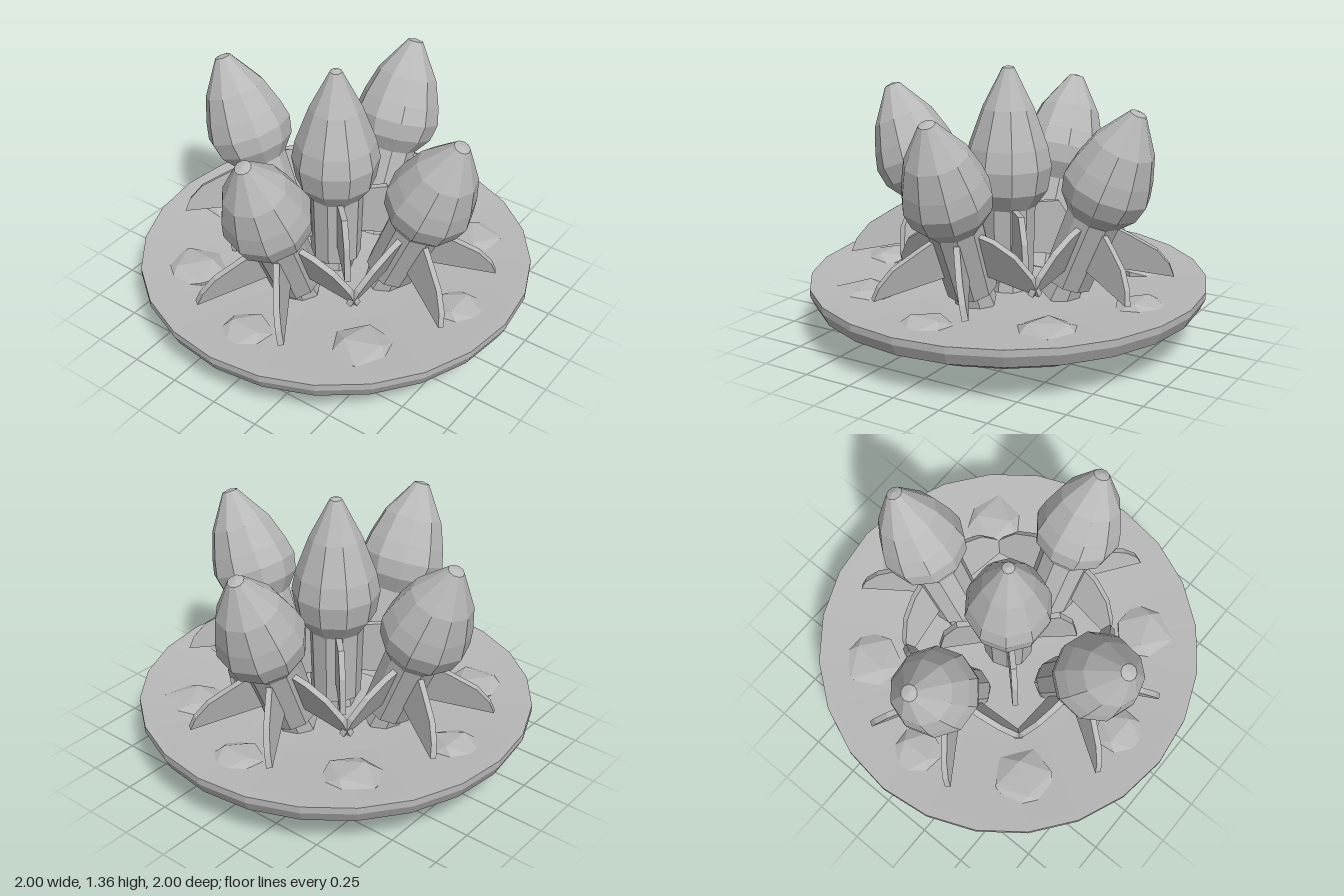
import * as THREE from 'three';

const gray = new THREE.MeshStandardMaterial({ color: 0xb8b8b8 });
gray.name = 'plain gray';
gray.flatShading = true;

const points = (list) => list.map(([x, y]) => new THREE.Vector2(x, y));

function add(parent, name, geometry) {
  const mesh = new THREE.Mesh(geometry, gray);
  mesh.name = name;
  parent.add(mesh);
  return mesh;
}

// Curved fin outline (radius, height), extruded to a thin blade
function addFin(parent, outline, degrees, thickness = 0.03) {
  const shape = new THREE.Shape(points(outline));
  const geometry = new THREE.ExtrudeGeometry(shape, { depth: thickness, bevelEnabled: false });
  geometry.translate(0, 0, -thickness / 2);
  add(parent, 'fin', geometry).rotation.y = THREE.MathUtils.degToRad(degrees);
}

// Rocket whose origin is where the nose meets the body
function makeRocket(name, noseProfile, bodyLength, fins) {
  const rocket = new THREE.Group();
  rocket.name = name;
  add(rocket, 'nose', new THREE.LatheGeometry(points(noseProfile), 10));
  const body = add(rocket, 'body', new THREE.CylinderGeometry(0.138, 0.128, bodyLength, 10));
  body.position.y = 0.02 - bodyLength / 2;
  const nozzle = add(rocket, 'nozzle', new THREE.CylinderGeometry(0.085, 0.105, 0.12, 8));
  nozzle.position.y = -bodyLength - 0.02;
  for (const { outline, angles } of fins) angles.forEach((a) => addFin(rocket, outline, a));
  return rocket;
}

// Low faceted stone; a pointed one is drawn out toward +z
function addRock(parent, x, z, turn, pointed) {
  const geometry = new THREE.IcosahedronGeometry(1, 0);
  const p = geometry.attributes.position;
  for (let i = 0; i < p.count; i++) {
    const px = p.getX(i), pz = p.getZ(i);
    if (pointed && pz > 0.6) p.setXYZ(i, px * 0.25, p.getY(i) * 0.4, 1.15);
  }
  geometry.scale(pointed ? 0.15 : 0.175, 0.055, pointed ? 0.15 : 0.175);
  geometry.computeVertexNormals();
  const rock = add(parent, 'rock', geometry);
  rock.position.set(x, 0.252, z);
  rock.rotation.y = turn;
}

export function createModel() {
  const model = new THREE.Group();
  model.name = 'rocketCluster';

  // Shallow round dish with a slightly hollow top
  add(model, 'dish', new THREE.LatheGeometry(points([
    [0, 0], [0.2, 0.005], [0.5, 0.055], [0.82, 0.125], [0.97, 0.195],
    [1, 0.255], [1, 0.29], [0.96, 0.287], [0.5, 0.245], [0, 0.215],
  ]), 24));

  // Upright centre rocket
  const centre = makeRocket('centreRocket', [
    [0, 0], [0.13, 0], [0.2, 0.1], [0.22, 0.22], [0.2, 0.32],
    [0.13, 0.51], [0.03, 0.705], [0, 0.715],
  ], 0.38, [{
    outline: [[0.1, 0.02], [0.26, 0.02], [0.33, -0.1], [0.36, -0.28], [0.1, -0.24]],
    angles: [45, 135, 225, 315],
  }]);
  centre.position.y = 0.645;
  model.add(centre);

  // Four rockets leaning outward
  const outerNose = [
    [0, 0], [0.13, 0], [0.2, 0.09], [0.22, 0.18], [0.2, 0.27],
    [0.155, 0.4], [0.04, 0.575], [0, 0.585],
  ];
  const outerFins = [
    { outline: [[0.1, -0.02], [0.2, -0.05], [0.3, -0.12], [0.37, -0.23], [0.39, -0.33], [0.1, -0.26]],
      angles: [0, 180] },
    { outline: [[0.1, -0.01], [0.21, -0.03], [0.35, -0.06], [0.44, -0.115], [0.485, -0.17], [0.1, -0.235]],
      angles: [-58, -122] },
  ];
  for (let i = 0; i < 4; i++) {
    const side = new THREE.Group();
    side.name = 'outerSection';
    side.rotation.y = i * Math.PI / 2;
    const rocket = makeRocket('leaningRocket', outerNose, 0.38, outerFins);
    rocket.position.set(0, 0.665, 0.48);
    rocket.rotation.x = THREE.MathUtils.degToRad(22.5);
    side.add(rocket);

    // Stones scattered around the dish
    addRock(side, 0, 0.745, 0, true);
    addRock(side, 0.52, 0.51, 0.5 + i, false);
    model.add(side);
  }
  return model;
}
